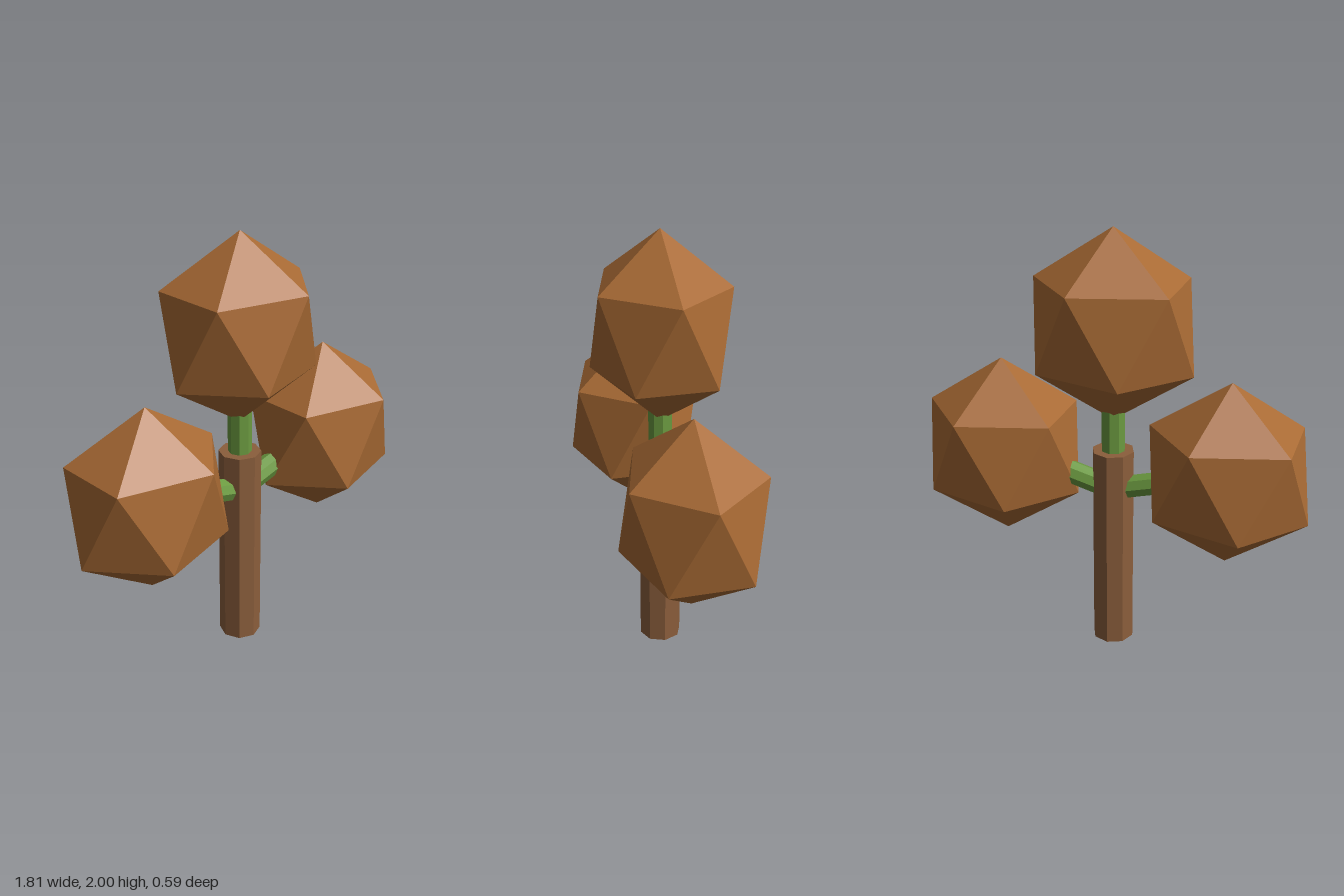
import * as THREE from 'three';
import { ConvexGeometry } from 'three/addons/geometries/ConvexGeometry.js';

const mat = (color) => new THREE.MeshStandardMaterial({ color, flatShading: true });

// Twenty-sided crown standing on a vertex, stretched differently per axis
function crownGeometry(rx, ry, rz) {
  const points = [new THREE.Vector3(0, ry, 0), new THREE.Vector3(0, -ry, 0)];
  const ringY = 1 / Math.sqrt(5), ringR = 2 / Math.sqrt(5);
  for (let i = 0; i < 5; i++) {
    const a = (i * Math.PI * 2) / 5;
    const x = rx * ringR * Math.cos(a), z = rz * ringR * Math.sin(a);
    points.push(new THREE.Vector3(x, ry * ringY, z), new THREE.Vector3(-x, -ry * ringY, -z));
  }
  return new ConvexGeometry(points);
}

// Eight-sided rod running between two points in the x-y plane
function rod(name, x0, y0, x1, y1, radius, material) {
  const dx = x1 - x0, dy = y1 - y0;
  const mesh = new THREE.Mesh(new THREE.CylinderGeometry(radius, radius, Math.hypot(dx, dy), 8), material);
  mesh.position.set((x0 + x1) / 2, (y0 + y1) / 2, 0);
  mesh.rotation.z = Math.atan2(-dx, dy);
  mesh.name = name;
  return mesh;
}

export function createModel() {
  const model = new THREE.Group();
  model.name = 'tree';
  const bark = mat(0x8b5e3c), green = mat(0x6b9a40), foliage = mat(0xa86a34);

  // Trunk and the stem above it
  model.add(rod('trunk', 0, 0, 0, 0.98, 0.098, bark));
  model.add(rod('topStem', 0, 0.9, 0, 1.3, 0.055, green));

  // Crowns: one on top, one on each side
  const crown = crownGeometry(0.41, 0.435, 0.345);
  const addCrown = (name, x, y) => {
    const mesh = new THREE.Mesh(crown, foliage);
    mesh.position.set(x, y, 0);
    mesh.name = name;
    model.add(mesh);
  };
  addCrown('topCrown', 0, 1.565);

  // Side branches, mirrored
  for (const [side, s] of [['left', 1], ['right', -1]]) {
    model.add(rod(side + 'Branch', 0, 0.785, s * 0.36, 0.88, 0.055, green));
    addCrown(side + 'Crown', s * 0.537, 0.93);
  }
  return model;
}
